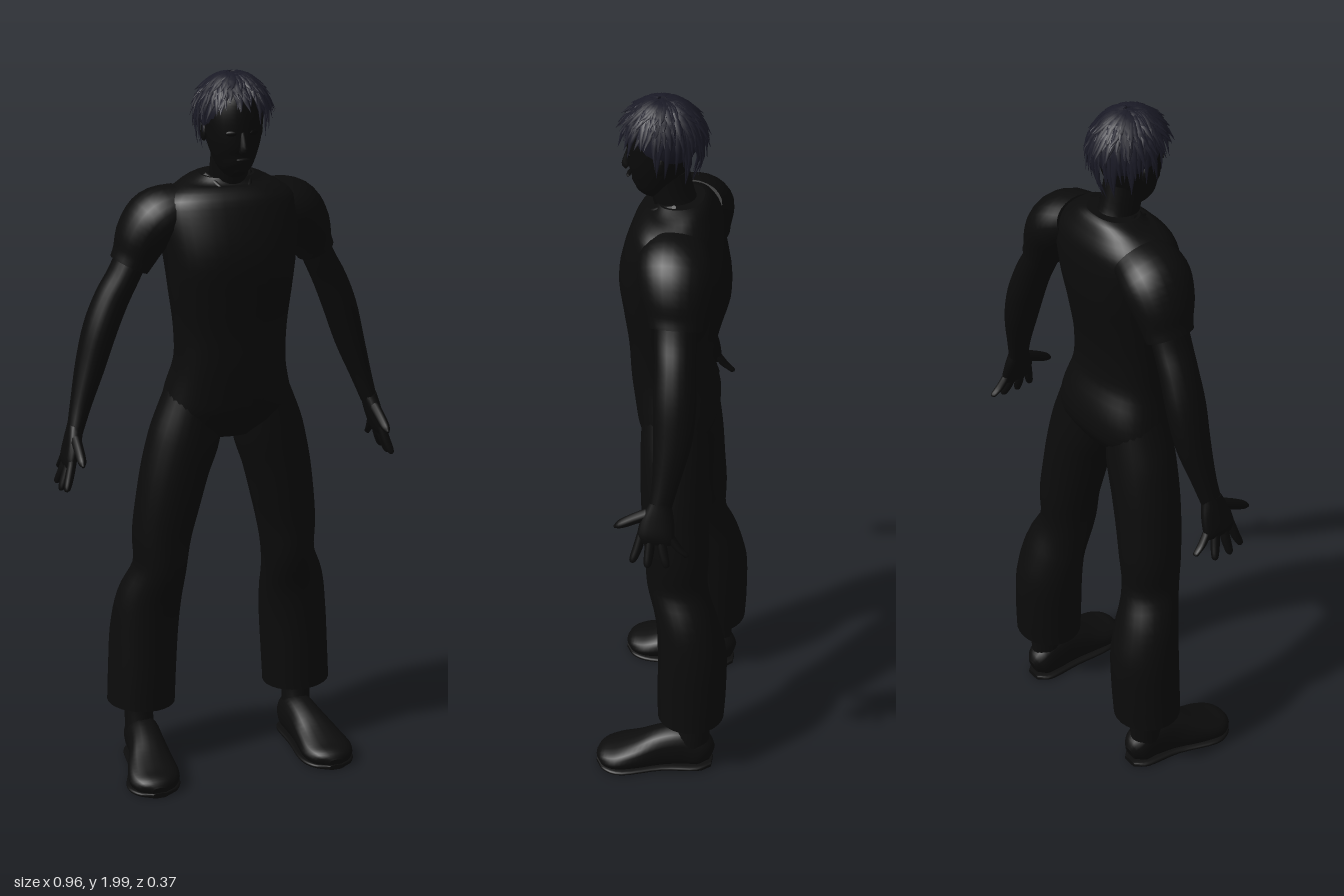
import * as THREE from 'three';
import { mergeGeometries } from 'three/addons/utils/BufferGeometryUtils.js';

const X = new THREE.Vector3(1, 0, 0), Z = new THREE.Vector3(0, 0, 1);

function seeded(seed) {
  return () => (seed = (seed * 16807) % 2147483647) / 2147483647;
}

// Closed skin through sections [x, y, z, radius along u, radius across u]
function loft(sections, u, { sides = 20, sub = 4, power = 1 } = {}) {
  const path = new THREE.CatmullRomCurve3(sections.map(s => new THREE.Vector3(s[0], s[1], s[2])), false, 'catmullrom');
  const radii = new THREE.CatmullRomCurve3(sections.map(s => new THREE.Vector3(s[3], s[4], 0)), false, 'catmullrom');
  const n = (sections.length - 1) * sub, pos = [], idx = [];
  const push = p => pos.push(p.x, Math.max(0, p.y), p.z);
  const bend = c => Math.sign(c) * Math.abs(c) ** power;
  const ring = k => {
    const c = path.getPoint(k / n), r = radii.getPoint(k / n);
    const v = path.getTangent(k / n).cross(u).normalize();
    for (let i = 0; i < sides; i++) {
      const a = i / sides * Math.PI * 2;
      push(c.clone().addScaledVector(u, r.x * bend(Math.cos(a))).addScaledVector(v, r.y * bend(Math.sin(a))));
    }
  };
  for (let k = 0; k <= n; k++) ring(k);
  for (let k = 0; k < n; k++) {
    for (let i = 0; i < sides; i++) {
      const a = k * sides + i, b = k * sides + (i + 1) % sides;
      idx.push(a, b, a + sides, b, b + sides, a + sides);
    }
  }
  // End caps keep their own vertices so their rims stay crisp
  for (const k of [0, n]) {
    const start = pos.length / 3;
    ring(k);
    push(path.getPoint(k / n));
    for (let i = 0; i < sides; i++) {
      const a = start + i, b = start + (i + 1) % sides;
      idx.push(start + sides, ...(k ? [a, b] : [b, a]));
    }
  }
  const g = new THREE.BufferGeometry();
  g.setAttribute('position', new THREE.Float32BufferAttribute(pos, 3));
  g.setIndex(idx);
  g.computeVertexNormals();
  return g;
}

// Overlapping tapered locks that spread from the crown over the skull
function hairLocks() {
  const rnd = seeded(77), locks = [];
  for (let layer = 0; layer < 5; layer++) {
    const count = 26 + layer * 5;
    for (let i = 0; i < count; i++) {
      const phi = (i + rnd() * 0.8) / count * Math.PI * 2;
      const back = (1 - Math.cos(phi)) / 2;
      const end = (1.45 + 0.85 * back) * (1 - layer * 0.13) + (rnd() - 0.5) * 0.35;
      const start = 0.08 + rnd() * 0.2, flare = 0.08 + rnd() * 0.14, swirl = (rnd() - 0.5) * 0.5;
      const sections = [];
      for (let k = 0; k <= 5; k++) {
        const t = k / 5, th = start + (end - start) * t, f = phi + swirl * t * t;
        const s = 1 + 0.02 * layer + flare * t ** 3;
        const y = Math.cos(th) * (th > Math.PI / 2 ? 1.75 : 1);
        const w = Math.sin(Math.PI * (0.2 + 0.8 * t)) + 0.02;
        sections.push([0.09 * s * Math.sin(th) * Math.sin(f), 1.88 + 0.097 * y * (1 + 0.012 * layer),
          0.03 + 0.1 * s * Math.sin(th) * Math.cos(f), 0.014 * w, 0.007 * w]);
      }
      locks.push(loft(sections, new THREE.Vector3(Math.cos(phi), 0, -Math.sin(phi)), { sides: 5, sub: 1 }));
    }
  }
  return mergeGeometries(locks);
}

export function createModel() {
  const model = new THREE.Group();
  model.name = 'standingFigure';
  const material = (name, color) => Object.assign(new THREE.MeshStandardMaterial({ color }), { name });
  const cloth = material('black cloth', 0x0b0b0b), skin = material('shadow skin', 0x0a0a0a);
  const shoe = material('black shoe', 0x0c0c0c), hair = material('midnight hair', 0x1a1a26);
  const eye = material('dark eye', 0x050505);
  const add = (name, geometry, mat, parent = model) => {
    const m = new THREE.Mesh(geometry, mat);
    m.name = name;
    parent.add(m);
    return m;
  };

  // Shirt and pelvis
  add('torso', loft([
    [0, 0.99, -0.02, 0.08, 0.06], [0, 1.04, -0.018, 0.18, 0.095], [0, 1.1, -0.015, 0.178, 0.11],
    [0, 1.2, 0.007, 0.155, 0.102], [0, 1.3, 0.012, 0.156, 0.103], [0, 1.4, 0.012, 0.168, 0.117],
    [0, 1.5, 0.008, 0.18, 0.132], [0, 1.6, -0.008, 0.195, 0.122], [0, 1.65, -0.018, 0.185, 0.107],
    [0, 1.685, -0.022, 0.135, 0.083], [0, 1.71, -0.02, 0.075, 0.06]
  ], X, { sides: 36, power: 0.85 }), cloth);
  add('collar', loft([
    [-0.065, 1.712, -0.01, 0.006, 0.006], [-0.045, 1.69, 0.045, 0.006, 0.006], [0, 1.645, 0.09, 0.006, 0.006],
    [0.045, 1.69, 0.045, 0.006, 0.006], [0.065, 1.712, -0.01, 0.006, 0.006]
  ], Z, { sides: 8 }), cloth);

  // Limbs, mirrored left and right
  for (const [side, s] of [['left', 1], ['right', -1]]) {
    const limb = new THREE.Group();
    limb.name = side + 'Limbs';
    model.add(limb);
    const part = (name, rows, u, mat, options) =>
      add(name, loft(rows.map(([x, ...rest]) => [x * s, ...rest]), u, options), mat, limb);

    part('trouserLeg', [
      [0.095, 1.12, -0.015, 0.085, 0.075], [0.117, 1, -0.02, 0.092, 0.098], [0.145, 0.9, -0.025, 0.093, 0.095],
      [0.166, 0.8, -0.03, 0.091, 0.09], [0.183, 0.7, -0.037, 0.088, 0.083], [0.19, 0.6, -0.04, 0.084, 0.075],
      [0.212, 0.5, -0.07, 0.087, 0.092], [0.223, 0.4, -0.086, 0.096, 0.097], [0.23, 0.28, -0.087, 0.097, 0.097],
      [0.235, 0.18, -0.085, 0.094, 0.097]
    ], Z, cloth, { sides: 28 });
    part('sleeve', [
      [0.12, 1.63, -0.025, 0.085, 0.06], [0.185, 1.6, -0.032, 0.098, 0.078], [0.225, 1.555, -0.038, 0.09, 0.072],
      [0.25, 1.5, -0.043, 0.074, 0.058], [0.264, 1.472, -0.045, 0.068, 0.053]
    ], Z, cloth, { sides: 24 });
    part('arm', [
      [0.24, 1.53, -0.045, 0.055, 0.045], [0.276, 1.45, -0.047, 0.055, 0.043], [0.312, 1.38, -0.052, 0.054, 0.046],
      [0.344, 1.3, -0.055, 0.056, 0.046], [0.374, 1.2, -0.054, 0.05, 0.04], [0.405, 1.1, -0.042, 0.036, 0.029],
      [0.426, 1.03, -0.03, 0.03, 0.022]
    ], Z, skin);
    part('palm', [
      [0.424, 1.045, -0.03, 0.028, 0.021], [0.436, 1, -0.025, 0.043, 0.02], [0.449, 0.955, -0.022, 0.049, 0.017],
      [0.453, 0.935, -0.022, 0.044, 0.011]
    ], Z, skin, { power: 0.8 });

    // Fingers as [base z, tip x, tip y, tip z]
    for (const [z, x, y, tz] of [[-0.058, 0.454, 0.9, -0.1], [-0.034, 0.473, 0.876, -0.052],
      [-0.009, 0.474, 0.872, -0.004], [0.015, 0.469, 0.88, 0.035]]) {
      part('finger', [
        [0.447, 0.96, z, 0.012, 0.012], [(0.449 + x) / 2, (0.955 + y) / 2, (z + tz) / 2, 0.013, 0.012],
        [x, y + 0.008, tz, 0.01, 0.009], [x + 0.001, y, tz, 0.003, 0.003]
      ], Z, skin, { sides: 10 });
    }
    part('thumb', [
      [0.432, 1.015, -0.005, 0.015, 0.016], [0.434, 0.995, 0.035, 0.014, 0.015],
      [0.436, 0.975, 0.072, 0.012, 0.012], [0.437, 0.965, 0.089, 0.004, 0.004]
    ], X, skin, { sides: 10 });

    // Ankle, shoe and sole
    part('ankle', [
      [0.24, 0.24, -0.095, 0.047, 0.04], [0.24, 0.15, -0.095, 0.046, 0.04], [0.238, 0.06, -0.085, 0.052, 0.042]
    ], Z, shoe);
    part('shoe', [
      [0.235, 0.04, -0.146, 0.018, 0.025], [0.235, 0.05, -0.12, 0.042, 0.05], [0.236, 0.065, -0.07, 0.047, 0.065],
      [0.242, 0.06, -0.01, 0.052, 0.06], [0.253, 0.044, 0.06, 0.066, 0.044], [0.259, 0.032, 0.12, 0.073, 0.032],
      [0.261, 0.026, 0.16, 0.054, 0.026], [0.262, 0.02, 0.18, 0.02, 0.012]
    ], X, shoe, { power: 0.85 });
    part('sole', [
      [0.235, 0.007, -0.147, 0.022, 0.007], [0.235, 0.007, -0.11, 0.048, 0.007], [0.242, 0.007, -0.01, 0.055, 0.007],
      [0.258, 0.007, 0.1, 0.077, 0.007], [0.261, 0.007, 0.155, 0.06, 0.007], [0.262, 0.007, 0.182, 0.02, 0.007]
    ], X, shoe, { power: 0.5 });

    // Ear and eye
    const ear = add('ear', new THREE.SphereGeometry(1, 12, 8), skin, limb);
    ear.scale.set(0.008, 0.024, 0.015);
    ear.position.set(s * 0.077, 1.83, 0.025);
    const eyePlate = add('eye', new THREE.SphereGeometry(1, 12, 8), eye, limb);
    eyePlate.scale.set(0.015, 0.007, 0.004);
    eyePlate.position.set(s * 0.031, 1.838, 0.112);
    eyePlate.rotation.y = s * 0.35;
  }

  // Neck, head and face
  add('neck', loft([
    [0, 1.65, -0.03, 0.065, 0.055], [0, 1.7, -0.005, 0.052, 0.055], [0, 1.78, 0.015, 0.05, 0.056]
  ], X), skin);
  add('head', loft([
    [0, 1.722, 0.078, 0.018, 0.024], [0, 1.738, 0.068, 0.04, 0.046], [0, 1.77, 0.052, 0.058, 0.066],
    [0, 1.82, 0.04, 0.073, 0.081], [0, 1.88, 0.032, 0.079, 0.088], [0, 1.93, 0.03, 0.068, 0.078],
    [0, 1.965, 0.03, 0.03, 0.035]
  ], X, { sides: 28 }), skin);
  add('nose', loft([
    [0, 1.79, 0.118, 0.012, 0.008], [0, 1.797, 0.122, 0.011, 0.013], [0, 1.84, 0.115, 0.006, 0.006]
  ], X, { sides: 10 }), skin);
  const mouth = add('mouth', new THREE.SphereGeometry(1, 12, 8), skin);
  mouth.scale.set(0.02, 0.005, 0.006);
  mouth.position.set(0, 1.768, 0.116);

  // Hair: smooth cap beneath loose locks
  const cap = add('hairCap', new THREE.SphereGeometry(1, 28, 18), hair);
  cap.scale.set(0.088, 0.092, 0.09);
  cap.position.set(0, 1.889, 0.022);
  add('hairLocks', hairLocks(), hair);
  return model;
}
